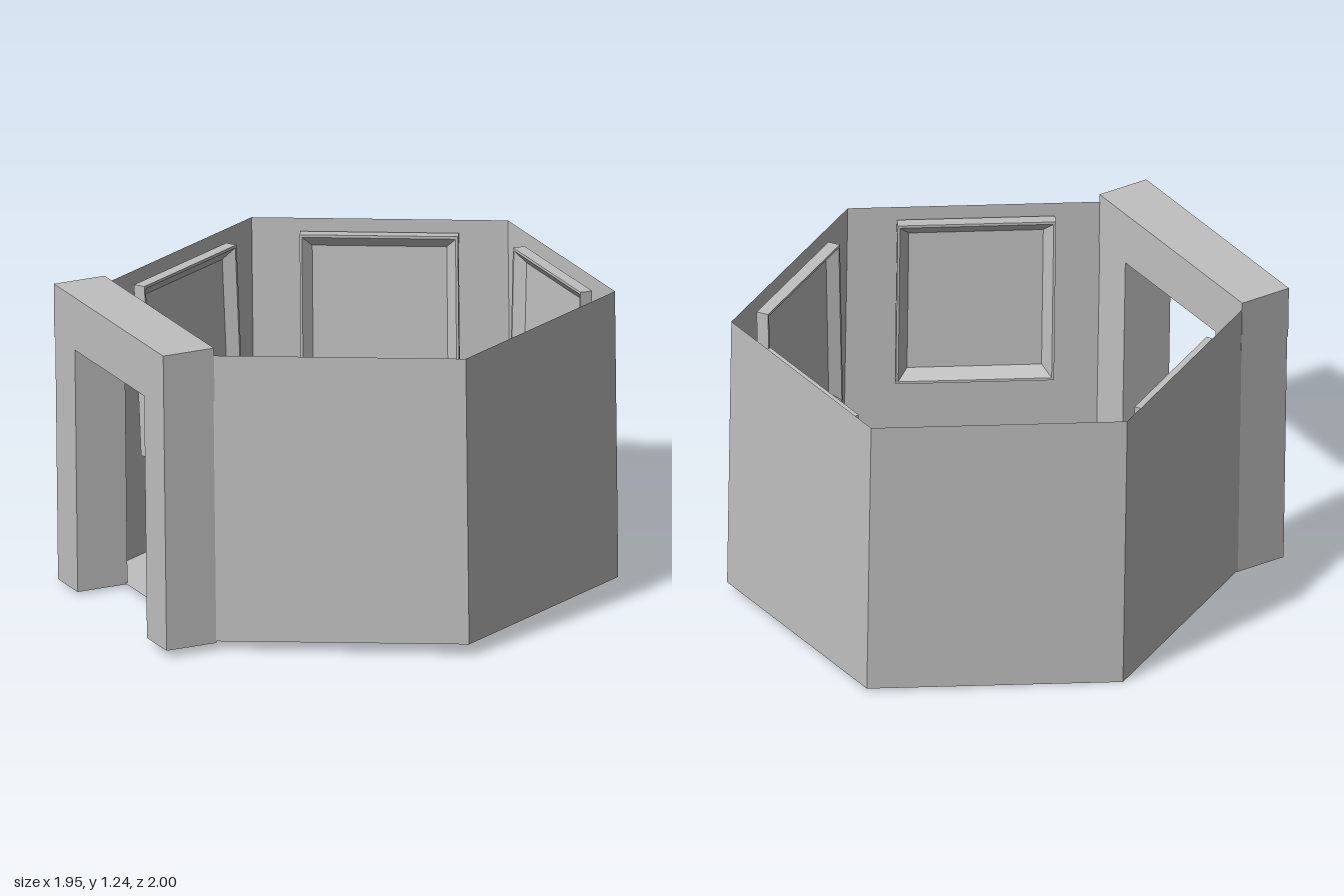
import * as THREE from 'three';

const TILT = -0.0255;      // whole room leans back slightly
const WALL_H = 1.175;
const CENTER_X = 0.1;

const gray = new THREE.MeshStandardMaterial({ color: 0xc0c0c0, flatShading: true, side: THREE.DoubleSide });
gray.name = 'plain gray';

function addMesh(parent, name, geometry, x = 0, y = 0, z = 0) {
  const mesh = new THREE.Mesh(geometry, gray);
  mesh.name = name;
  mesh.position.set(x, y, z);
  parent.add(mesh);
  return mesh;
}

// Shallow four-sided tray: outer sides, sharp rim, bevel, recessed panel
function windowGeometry(width, height, depth) {
  const profile = [[0.5, 0], [0.5, depth], [0.485, depth], [0.425, 0.012], [0, 0.012]]
    .map(([r, d]) => new THREE.Vector2(r * Math.SQRT2, d));
  const lathe = new THREE.LatheGeometry(profile, 4, Math.PI / 4);
  lathe.rotateX(Math.PI / 2);
  lathe.scale(width, height, 1);
  const flat = lathe.toNonIndexed();
  flat.computeVertexNormals();
  return flat;
}

export function createModel() {
  const model = new THREE.Group();
  model.name = 'hexagonalRoom';
  const room = new THREE.Group();
  room.name = 'tiltedRoom';
  room.position.set(0, 0.026, 0.016);
  room.rotation.x = TILT;
  model.add(room);

  // Six corners, starting at the front point
  const corners = [];
  for (let k = 0; k < 6; k++) {
    const a = k * Math.PI / 3;
    corners.push(new THREE.Vector2(CENTER_X + 1.01 * Math.sin(a), 0.983 * Math.cos(a)));
  }

  // Floor
  const floor = new THREE.ShapeGeometry(new THREE.Shape(corners));
  floor.rotateX(Math.PI / 2);
  addMesh(room, 'floor', floor);

  // Five thin walls, each with a framed window panel; the sixth side is the doorway
  const windowGeo = windowGeometry(0.62, 0.7, 0.05);
  for (let k = 0; k < 6; k++) {
    if (k === 4) continue;
    const p = corners[k], q = corners[(k + 1) % 6];
    const side = new THREE.Group();
    side.name = 'wallSide';
    side.position.set((p.x + q.x) / 2, 0, (p.y + q.y) / 2);
    side.rotation.y = Math.atan2(q.y - p.y, p.x - q.x);
    room.add(side);
    addMesh(side, 'wall', new THREE.PlaneGeometry(p.distanceTo(q), WALL_H), 0, WALL_H / 2, 0);
    const pane = addMesh(side, 'windowPanel', windowGeo, 0, 0.775, 0.026);
    pane.rotation.x = -0.035;
  }

  // Door frame: two posts and a lintel
  const doorX = -0.87, doorDepth = 0.215;
  for (const s of [-1, 1]) {
    addMesh(room, 'doorPost', new THREE.BoxGeometry(doorDepth, 0.997, 0.18), doorX, 0.4915, s * 0.408);
  }
  addMesh(room, 'doorLintel', new THREE.BoxGeometry(doorDepth + 0.004, 0.217, 1.004), doorX, 1.0985, 0);

  return model;
}
